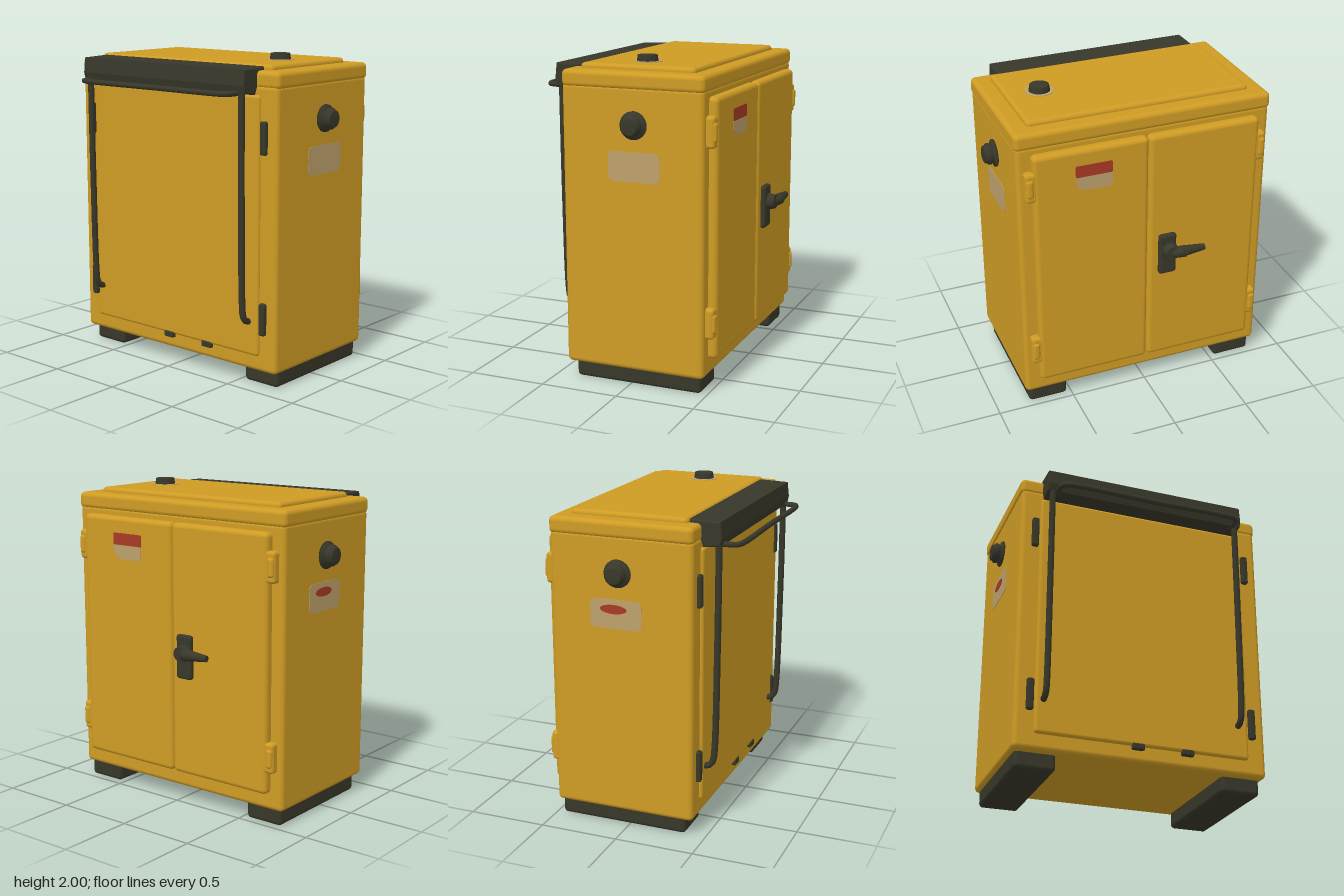
import * as THREE from 'three';
import { RoundedBoxGeometry } from 'three/addons/geometries/RoundedBoxGeometry.js';

const material = (name, color, side = THREE.FrontSide) => {
  const m = new THREE.MeshStandardMaterial({ color, side });
  m.name = name;
  return m;
};

export function createModel() {
  const yellow = material('yellow paint', 0xcf9c24);
  const dark = material('dark rubber', 0x38372a);
  const red = material('red label', 0xa83a24);
  const beige = material('beige label', 0xbda16c);
  const model = new THREE.Group();
  model.name = 'cabinet';

  const add = (name, geometry, mat, parent = model) => {
    const mesh = new THREE.Mesh(geometry, mat);
    mesh.name = name;
    parent.add(mesh);
    return mesh;
  };
  // Rounded box given by its limits on each axis
  const box = (name, mat, [x0, x1], [y0, y1], [z0, z1], r = 0.02, parent = model) => {
    const mesh = add(name, new RoundedBoxGeometry(x1 - x0, y1 - y0, z1 - z0, 3, r), mat, parent);
    mesh.position.set((x0 + x1) / 2, (y0 + y1) / 2, (z0 + z1) / 2);
    return mesh;
  };
  const tube = (name, points, r, parent = model) => {
    const curve = new THREE.CatmullRomCurve3(points.map(p => new THREE.Vector3(...p)), false, 'centripetal');
    return add(name, new THREE.TubeGeometry(curve, 48, r, 10), dark, parent);
  };
  // Thin plate with rounded corners, facing +z
  const plate = (name, mat, w, h, r, parent) => {
    const x = w / 2, y = h / 2, s = new THREE.Shape();
    s.moveTo(-x + r, -y).lineTo(x - r, -y).quadraticCurveTo(x, -y, x, -y + r);
    s.lineTo(x, y - r).quadraticCurveTo(x, y, x - r, y);
    s.lineTo(-x + r, y).quadraticCurveTo(-x, y, -x, y - r);
    s.lineTo(-x, -y + r).quadraticCurveTo(-x, -y, -x + r, -y);
    return add(name, new THREE.ExtrudeGeometry(s, { depth: 0.006, bevelEnabled: false }), mat, parent);
  };

  // Body, lid and raised top panel
  box('body', yellow, [-0.425, 0.485], [0.1, 1.85], [-0.812, 0.812], 0.03);
  box('lid', yellow, [-0.425, 0.49], [1.825, 1.93], [-0.818, 0.818], 0.03);
  box('topPanel', yellow, [-0.35, 0.39], [1.88, 1.96], [-0.71, 0.71], 0.025);

  // Feet
  for (const s of [-1, 1]) {
    box('foot', dark, [-0.37, 0.46], [0, 0.12], s < 0 ? [-0.785, -0.53] : [0.53, 0.785], 0.025);
  }

  // Doors and their hinges on the +x side
  for (const s of [-1, 1]) {
    box('door', yellow, [0.45, 0.54], [0.21, 1.8], s < 0 ? [-0.727, -0.002] : [0.002, 0.727], 0.03);
    for (const y of [0.445, 1.6]) {
      box('doorHinge', yellow, [0.46, 0.535], [y - 0.095, y + 0.095], s < 0 ? [-0.775, -0.70] : [0.70, 0.775], 0.02);
      box('hingeBarrel', yellow, [0.5, 0.546], [y - 0.06, y + 0.06], s < 0 ? [-0.77, -0.725] : [0.725, 0.77], 0.018);
    }
  }

  // Door handle with tapering lever
  const handle = new THREE.Group();
  handle.name = 'doorHandle';
  model.add(handle);
  box('handlePlate', dark, [0.53, 0.572], [0.84, 1.12], [-0.178, -0.062], 0.018, handle);
  const hub = add('handleHub', new THREE.CylinderGeometry(0.045, 0.055, 0.06, 20), dark, handle);
  hub.rotation.z = -Math.PI / 2;
  hub.position.set(0.59, 1.01, -0.13);
  tube('leverNeck', [[0.57, 1.01, -0.12], [0.605, 1.01, -0.16], [0.62, 1.012, -0.22]], 0.036, handle);
  const lever = add('lever', new THREE.CylinderGeometry(0.02, 0.036, 0.15, 16), dark, handle);
  lever.rotation.x = -Math.PI / 2;
  lever.position.set(0.618, 1.015, -0.268);

  // Round knobs: flange, neck and cap turned about y
  const knobProfile = [[0, 0], [0.085, 0], [0.085, 0.012], [0.06, 0.02], [0.06, 0.028], [0.066, 0.034],
    [0.066, 0.05], [0.054, 0.06], [0.054, 0.07], [0.046, 0.075], [0, 0.075]].map(p => new THREE.Vector2(...p));
  for (const s of [-1, 1]) {
    const knob = add('sideKnob', new THREE.LatheGeometry(knobProfile, 24), dark);
    knob.rotation.x = s * Math.PI / 2;
    knob.position.set(0.045, 1.62, s * 0.81);
  }
  const ring = add('topKnobRing', new THREE.CylinderGeometry(0.088, 0.088, 0.006, 28), beige);
  ring.position.set(0, 1.961, 0.5);
  const topKnob = add('topKnob', new THREE.CylinderGeometry(0.06, 0.067, 0.045, 24), dark);
  topKnob.position.set(0, 1.978, 0.5);

  // Labels on the front and back ends
  plate('frontLabel', beige, 0.33, 0.18, 0.04, model).position.set(0.045, 1.37, 0.809);
  const backLabel = new THREE.Group();
  backLabel.name = 'backLabel';
  backLabel.rotation.y = Math.PI;
  backLabel.position.set(0.06, 1.37, -0.809);
  model.add(backLabel);
  plate('labelPanel', beige, 0.33, 0.18, 0.04, backLabel);
  const oval = add('labelOval', new THREE.CylinderGeometry(0.085, 0.085, 0.004, 28), red, backLabel);
  oval.rotation.x = Math.PI / 2;
  oval.scale.z = 0.33;
  oval.position.set(-0.015, 0.03, 0.007);

  // Two-tone label on a door
  const doorLabel = new THREE.Group();
  doorLabel.name = 'doorLabel';
  doorLabel.rotation.y = Math.PI / 2;
  doorLabel.position.set(0.538, 1.615, 0.355);
  model.add(doorLabel);
  plate('labelTop', red, 0.23, 0.075, 0.008, doorLabel).position.y = 0.0475;
  const lower = new THREE.Shape();
  lower.moveTo(-0.115, 0.01).quadraticCurveTo(-0.115, -0.08, -0.04, -0.08);
  lower.lineTo(0.09, -0.08).quadraticCurveTo(0.115, -0.08, 0.115, -0.055).lineTo(0.115, 0.01);
  add('labelBottom', new THREE.ExtrudeGeometry(lower, { depth: 0.006, bevelEnabled: false }), beige, doorLabel);

  // Dark hood along the top of the -x side
  const hood = new THREE.Shape();
  [[-0.36, 1.94], [-0.53, 1.935], [-0.54, 1.85], [-0.53, 1.81], [-0.44, 1.8], [-0.40, 1.9], [-0.36, 1.92]]
    .forEach(([x, y], i) => (i ? hood.lineTo(x, y) : hood.moveTo(x, y)));
  const hoodGeometry = new THREE.ExtrudeGeometry(hood, {
    depth: 1.31, bevelThickness: 0.012, bevelSize: 0.01, bevelSegments: 3,
  });
  add('hood', hoodGeometry, dark).position.z = -0.665;

  // Grab rail and two upright bars on the -x side
  tube('grabRail', [[-0.5, 1.805, -0.61], [-0.57, 1.805, -0.61], [-0.615, 1.805, -0.6], [-0.63, 1.805, -0.56],
    [-0.63, 1.805, 0], [-0.63, 1.805, 0.55], [-0.615, 1.805, 0.585], [-0.57, 1.805, 0.6], [-0.5, 1.805, 0.6]], 0.017);
  for (const z of [-0.64, 0.62]) {
    tube('uprightBar', [[-0.52, 1.86, z], [-0.517, 1.2, z], [-0.505, 0.52, z], [-0.495, 0.45, z],
      [-0.47, 0.42, z], [-0.41, 0.41, z]], 0.02);
  }

  // Side panel with dark hinges and small clips
  box('sidePanel', yellow, [-0.445, -0.40], [0.2, 1.79], [-0.69, 0.69], 0.02);
  for (const z of [-0.72, 0.72]) {
    for (const y of [0.44, 1.54]) {
      box('sideHinge', dark, [-0.452, -0.41], [y - 0.1, y + 0.1], [z - 0.022, z + 0.022], 0.012);
    }
  }
  for (const z of [-0.04, 0.28]) {
    box('sideClip', dark, [-0.452, -0.41], [0.175, 0.215], [z - 0.04, z + 0.04], 0.01);
  }
  return model;
}
